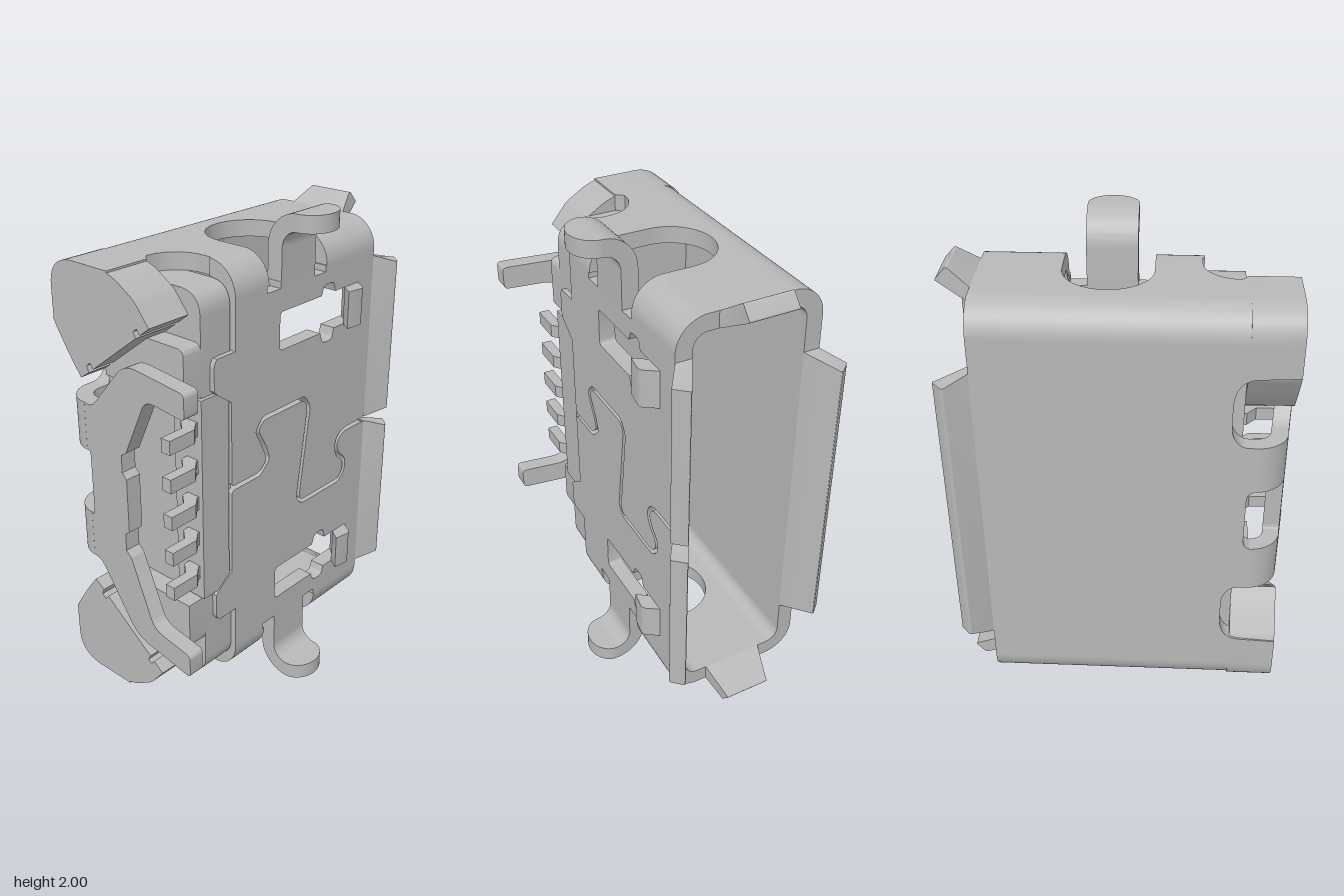
import * as THREE from 'three';
import { toCreasedNormals } from 'three/addons/utils/BufferGeometryUtils.js';

const T = 0.065, R = 0.12;            // sheet thickness, outer bend radius
const LEFT = -0.33, RIGHT = 0.24, TOP = 1.865, BACK = -0.55, FRONT = 0.61;
const AX = new THREE.Vector3(1, 0, 0), AY = new THREE.Vector3(0, 1, 0), AZ = new THREE.Vector3(0, 0, 1);
const flipY = (pts) => pts.map(([a, b, r]) => [a, 2 - b, r]).reverse();

// Polygon whose third value per point is a corner rounding distance
function poly(pts, def = 0, ShapeClass = THREE.Shape) {
  const s = new ShapeClass(), n = pts.length;
  pts.forEach(([x, y, r = def], i) => {
    const p = new THREE.Vector2(x, y);
    const toward = (q) => {
      const d = new THREE.Vector2(q[0], q[1]).sub(p), len = d.length();
      return p.clone().addScaledVector(d, Math.min(r, len * 0.48) / len);
    };
    const a = toward(pts[(i + n - 1) % n]), b = toward(pts[(i + 1) % n]);
    if (i) s.lineTo(a.x, a.y); else s.moveTo(a.x, a.y);
    if (r > 0) s.quadraticCurveTo(x, y, b.x, b.y);
  });
  s.closePath();
  return s;
}

// Extrudes a shape drawn on axes X and Y, starting at an origin
function ext(shape, depth, X, Y, origin) {
  const g = new THREE.ExtrudeGeometry(shape, { depth, bevelEnabled: false, curveSegments: 10 });
  const m = new THREE.Matrix4().makeBasis(X, Y, new THREE.Vector3().crossVectors(X, Y));
  return g.applyMatrix4(m.setPosition(...origin));
}
const slabX = (shape, outer, depth = T) => ext(shape, depth, AZ, AY, [outer, 0, 0]);   // drawn in (z, y)
const slabY = (shape, upper, depth = T) => ext(shape, depth, AX, AZ, [0, upper, 0]);   // drawn in (x, z)
const slabZ = (shape, z0, z1) => ext(shape, z1 - z0, AX, AY, [0, 0, z0]);              // drawn in (x, y)

// Reflects a geometry about the mid height and restores the winding
function mirrored(g) {
  const m = g.clone().scale(1, -1, 1).translate(0, 2, 0), p = m.attributes.position;
  const a = new THREE.Vector3(), b = new THREE.Vector3();
  for (let i = 0; i < p.count; i += 3) {
    a.fromBufferAttribute(p, i); b.fromBufferAttribute(p, i + 2);
    p.setXYZ(i, b.x, b.y, b.z); p.setXYZ(i + 2, a.x, a.y, a.z);
  }
  return m;
}

function bend(cx, cy, a0, a1, r = R) {
  const s = new THREE.Shape();
  s.absarc(cx, cy, r, a0, a1, a1 < a0);
  s.absarc(cx, cy, r - T, a1, a0, a1 > a0);
  s.closePath();
  return s;
}

// Flared lip with narrowed tip corners; runs along X cross Y
function lip(len, X, Y, origin) {
  const g = ext(poly([[0, -0.55], [0.06, -0.635, 0.01], [0.01, -0.68, 0.01], [-T, -0.55]]), len, X, Y, origin);
  const dir = new THREE.Vector3().crossVectors(X, Y), mid = new THREE.Vector3(...origin).addScaledVector(dir, len / 2);
  const p = g.attributes.position, v = new THREE.Vector3();
  for (let i = 0; i < p.count; i++) {
    v.fromBufferAttribute(p, i);
    if (v.z < -0.6) v.addScaledVector(dir, -0.03 * Math.sign(v.clone().sub(mid).dot(dir)));
    p.setXYZ(i, v.x, v.y, v.z);
  }
  return g;
}

export function createModel() {
  const model = new THREE.Group();
  const metal = new THREE.MeshStandardMaterial({ color: 0xb8b8b8 });
  metal.name = 'grey metal';
  const add = (name, g) => {
    const mesh = new THREE.Mesh(toCreasedNormals(g, 0.5), metal);
    mesh.name = name;
    model.add(mesh);
  };
  const pair = (name, g) => { add('upper ' + name, g); add('lower ' + name, mirrored(g)); };

  // Side wall on the -x side, notched at its front edge
  const edge = [[0.45, 1.12, 0.03], [0.477, 1.135], [0.477, 1.33], [0.42, 1.33, 0.04], [0.38, 1.38, 0.04],
    [0.38, 1.55, 0.05], [0.42, 1.61, 0.05], [FRONT, 1.62], [FRONT, 1.745], [BACK, 1.745]];
  add('sideWall', slabX(poly([...edge, ...flipY(edge)]), LEFT + T));

  // End walls with the round cut-out and the slot behind the ear
  const end = new THREE.Shape();
  end.moveTo(LEFT + R, BACK);
  end.lineTo(RIGHT - R, BACK);
  end.lineTo(RIGHT - R, -0.245);
  end.lineTo(0, -0.245);
  end.absarc(0, -0.0775, 0.1675, -Math.PI / 2, Math.PI / 2, true);
  end.lineTo(RIGHT - R, 0.09);
  end.lineTo(RIGHT - R, 0.262);
  end.lineTo(0.08, 0.262);
  end.bezierCurveTo(0, 0.262, -0.06, 0.32, -0.06, 0.4);
  end.lineTo(-0.03, 0.425);
  end.lineTo(-0.03, FRONT);
  end.lineTo(LEFT + R, FRONT);
  pair('endWall', slabY(end, TOP));

  // Rounded bends joining the walls
  pair('sideBend', slabZ(bend(LEFT + R, TOP - R, Math.PI / 2, Math.PI), BACK, FRONT));
  for (const [z0, z1] of [[BACK, -0.245], [0.09, 0.27]])
    pair('plateBend', slabZ(bend(RIGHT - R, TOP - R, 0, Math.PI / 2), z0, z1));

  // Mounting plate in two halves that meet at an interlocking seam
  const seam = [[-0.55, 1], [-0.41, 1], [-0.37, 0.98], [-0.355, 0.945], [-0.37, 0.9], [-0.42, 0.855], [-0.42, 0.805],
    [-0.385, 0.77], [-0.135, 0.77], [-0.11, 0.8], [-0.165, 1.19], [-0.135, 1.235], [0.115, 1.235], [0.15, 1.195],
    [0.1, 1.105], [0.08, 1.05], [0.13, 1.005], [0.29, 1.005]];
  const seamSide = (d) => seam.map(([x, y], i) => {
    const a = seam[Math.max(i - 1, 0)], b = seam[Math.min(i + 1, seam.length - 1)];
    const dx = b[0] - a[0], dy = b[1] - a[1], l = Math.hypot(dx, dy);
    return [x - dy / l * d, y + dx / l * d, 0.02];
  });
  const rim = [[0.29, 1.36], [0.36, 1.41], [0.38, 1.43], [0.38, 1.53, 0.02], [0.365, 1.55], [0.27, 1.55], [0.27, 1.745],
    [0.1, 1.745], [0.1, 1.72], [0.025, 1.72], [0.025, 1.745], [-0.17, 1.745], [-0.17, 1.72], [-0.24, 1.72],
    [-0.24, 1.745], [BACK, 1.745]];
  const slot = [[0.025, 1.48, 0.02], [-0.22, 1.48], [-0.235, 1.435, 0.02], [-0.295, 1.435, 0.02], [-0.305, 1.48], [-0.44, 1.48],
    [-0.44, 1.63], [-0.305, 1.63], [-0.295, 1.67, 0.02], [-0.235, 1.67, 0.02], [-0.22, 1.63], [0.025, 1.63, 0.02]];
  for (const up of [true, false]) {
    const fit = (pts) => (up ? pts : pts.map(([a, b, r]) => [a, 2 - b, r]));
    const half = poly([...seamSide(up ? 0.009 : -0.009), ...fit(rim)]);
    half.holes.push(poly(fit(slot), 0, THREE.Path));
    add(up ? 'upper mountingPlate' : 'lower mountingPlate', slabX(half, RIGHT));
  }

  // Latch tongues raised out of the plate windows
  pair('latch', slabY(poly([[0.175, -0.44], [0.24, -0.45], [0.3, -0.41, 0.02], [0.287, -0.33], [0.24, -0.365], [0.22, -0.4]]), 1.63, 0.15));

  // Lips flared around the socket opening
  add('sideLip', lip(1.22, AX.clone().negate(), AZ, [LEFT, 0.39, 0]));
  pair('plateLip', lip(0.705, AX, AZ, [RIGHT, 1.715, 0]));
  pair('endLip', lip(0.25, AY, AZ, [-0.17, TOP, 0]));

  // Curved solder legs with rounded feet
  const leg = new THREE.Shape();
  leg.moveTo(0.175, 1.7);
  leg.lineTo(0.175, 1.87);
  leg.absarc(0.305, 1.87, 0.13, Math.PI, Math.PI / 2, true);
  leg.absarc(0.305, 1.87, 0.065, Math.PI / 2, Math.PI, false);
  leg.lineTo(0.24, 1.7);
  leg.closePath();
  pair('solderLeg', slabZ(leg, -0.172, 0.023));
  const foot = new THREE.Shape();
  foot.absellipse(0.305, -0.0745, 0.083, 0.0975, -Math.PI / 2, Math.PI / 2, false);
  foot.closePath();
  pair('solderFoot', slabY(foot, 2));

  // Ears closing the front corners
  pair('frontEar', slabZ(poly([[LEFT, 1.62, 0.03], [LEFT, TOP, 0.13], [-0.02, TOP, 0.07], [0.1, 1.79, 0.02], [0.165, 1.71],
    [0.12, 1.675], [0.105, 1.695], [0.088, 1.682], [0.1, 1.66], [-0.13, 1.485], [-0.145, 1.505], [-0.165, 1.49],
    [-0.155, 1.465], [-0.2, 1.435], [-0.25, 1.5, 0.04]]), 0.425, FRONT));

  // Slanted front clamp, folded from the side wall, with two legs
  const clamp = [[-0.19, 1.09, 0.04], [-0.19, 1.135, 0.04], [-0.21, 1.135], [-0.21, 1.33], [-0.16, 1.33, 0.05],
    [0.06, 1.565, 0.07], [0.388, 1.565, 0.02], [0.388, 1.47, 0.02], [0.2, 1.47, 0.03], [0.165, 1.45, 0.02],
    [0.045, 1.22], [0.015, 1.2], [0.015, 1.13], [0.04, 1.11]];
  const clampGeo = slabZ(poly([...clamp, ...flipY(clamp)]), 0.561, 0.626);
  const cp = clampGeo.attributes.position;
  for (let i = 0; i < cp.count; i++) cp.setZ(i, cp.getZ(i) + 0.14 * cp.getX(i));
  add('frontClamp', clampGeo);
  pair('clampBend', slabY(bend(LEFT + R, 0.477, Math.PI, Math.PI / 2), 1.33, 0.195));

  // Insulating body inside the front end
  const body = [[-0.265, 1.8, 0.05], [0.22, 1.8, 0.09]];
  add('insulator', slabZ(poly([...body, ...flipY(body)]), 0.275, 0.425));
  pair('insulatorShoulder', slabZ(poly([[-0.18, 1.42], [0.22, 1.42], [0.22, 1.62, 0.03], [-0.1, 1.62], [-0.18, 1.5]]), 0.4, 0.51));
  add('insulatorLip', slabZ(poly([[0.1, 0.585], [0.235, 0.585], [0.235, 1.415], [0.1, 1.415]]), 0.3, 0.442));

  // Five stepped contact pins
  const pin = poly([[0.16, 0.4], [0.215, 0.4], [0.215, 0.45], [0.247, 0.49], [0.247, 0.612], [0.205, 0.612], [0.205, 0.51], [0.16, 0.47]]);
  for (let i = -2; i <= 2; i++) add('contactPin', slabY(pin, 1.0275 + i * 0.15, 0.055));

  return model;
}
